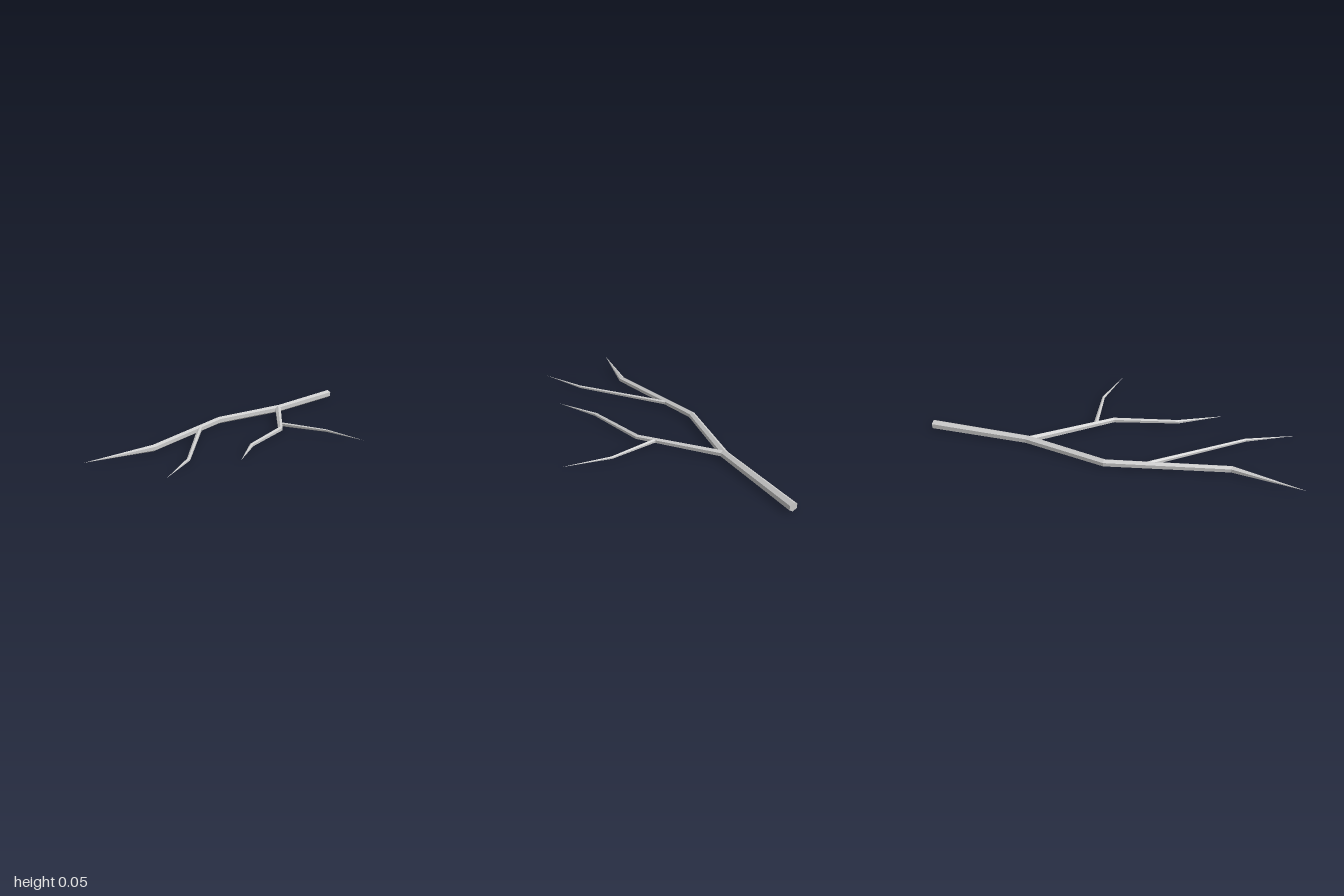
import * as THREE from 'three';

const SIDES = 6;
const CENTRE_Y = 0.025;
const UP = new THREE.Vector3(0, 1, 0);

// Tapering six-sided limb along [x, z, radius] points; the last point is a sharp tip.
function limbGeometry(points) {
  const centres = points.map(([x, z]) => new THREE.Vector3(x, CENTRE_Y, z));
  const rings = points.map(([, , radius], i) => {
    const before = centres[Math.max(i - 1, 0)];
    const after = centres[Math.min(i + 1, centres.length - 1)];
    const inDir = centres[i].clone().sub(before).normalize();
    const outDir = after.clone().sub(centres[i]).normalize();
    const tangent = inDir.add(outDir).normalize();
    const side = new THREE.Vector3().crossVectors(UP, tangent);
    return Array.from({ length: SIDES }, (_, k) => {
      const a = Math.PI / 6 + (k * 2 * Math.PI) / SIDES;
      return centres[i].clone()
        .addScaledVector(side, radius * Math.cos(a))
        .addScaledVector(UP, radius * Math.sin(a));
    });
  });

  const triangles = [];
  for (let k = 0; k < SIDES; k++) {
    const n = (k + 1) % SIDES;
    // Cap at the thick end
    triangles.push(centres[0], rings[0][n], rings[0][k]);
    for (let i = 0; i < rings.length - 1; i++) {
      const [a, b, c, d] = [rings[i][k], rings[i][n], rings[i + 1][n], rings[i + 1][k]];
      triangles.push(a, b, c);
      if (i < rings.length - 2) triangles.push(a, c, d);
    }
  }
  const geometry = new THREE.BufferGeometry().setFromPoints(triangles);
  geometry.computeVertexNormals();
  return geometry;
}

export function createModel() {
  const group = new THREE.Group();
  group.name = 'branch';
  const material = new THREE.MeshStandardMaterial({ color: 0xcccccc, flatShading: true });

  const limbs = {
    mainStem: [[-0.356, -1, 0.025], [-0.354, -0.455, 0.022], [-0.447, 0, 0.02], [-0.324, 0.624, 0.018], [-0.402, 1, 0]],
    upperBranch: [[-0.352, -0.445, 0.019], [-0.042, -0.072, 0.0145], [0.037, 0.27, 0.011], [0.164, 0.5, 0]],
    upperTwig: [[-0.112, -0.155, 0.012], [0.18, -0.203, 0.0075], [0.455, -0.163, 0]],
    lowerBranch: [[-0.397, 0.208, 0.013], [-0.044, 0.65, 0.009], [0.074, 0.905, 0]],
  };
  for (const [name, points] of Object.entries(limbs)) {
    const mesh = new THREE.Mesh(limbGeometry(points), material);
    mesh.name = name;
    group.add(mesh);
  }
  return group;
}
